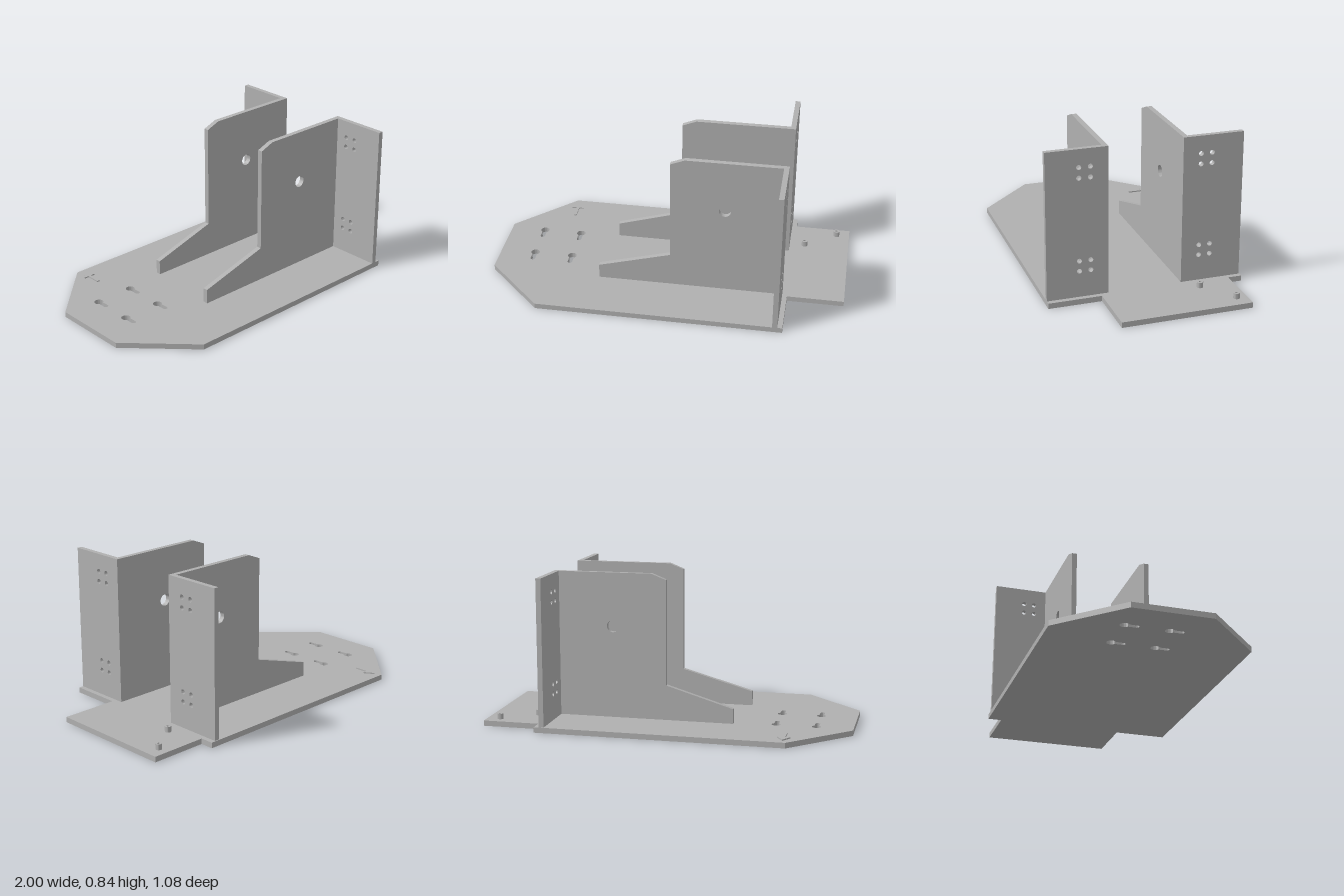
import * as THREE from 'three';
import { toCreasedNormals } from 'three/addons/utils/BufferGeometryUtils.js';

const BASE_T = 0.03;
const SHEET_T = 0.028;

const polygon = (pts) => new THREE.Shape(pts.map(([x, y]) => new THREE.Vector2(x, y)));

function roundHole(x, y, r) {
  const hole = new THREE.Path();
  hole.absarc(x, y, r, 0, Math.PI * 2, true);
  return hole;
}

// Keyhole: large round head with a narrow round-ended slot running down from it
function keyhole(x, y, r, w, length) {
  const hole = new THREE.Path();
  const a = Math.asin(w / r);
  hole.absarc(x, y, r, -Math.PI / 2 + a, Math.PI * 1.5 - a, false);
  hole.absarc(x, y - length + w, w, Math.PI, Math.PI * 2, false);
  hole.closePath();
  return hole;
}

function plate(shape, depth) {
  const geo = new THREE.ExtrudeGeometry(shape, { depth, bevelEnabled: false, curveSegments: 16 });
  return toCreasedNormals(geo, 0.6);
}

export function createModel() {
  const model = new THREE.Group();
  model.name = 'mountingBracket';
  const grey = new THREE.MeshStandardMaterial({ color: 0xb0b0b0 });
  grey.name = 'plain grey';

  const add = (parent, name, geo) => {
    const mesh = new THREE.Mesh(geo, grey);
    mesh.name = name;
    parent.add(mesh);
    return mesh;
  };

  // Base plate, drawn in (x, -z) and laid flat
  const base = polygon([
    [-1, -0.215], [-0.68, -0.537], [0.685, -0.537], [0.685, -0.247], [1, -0.247],
    [1, 0.464], [0.685, 0.464], [0.685, 0.539], [-0.68, 0.539], [-1, 0.219],
  ]);
  for (const x of [-0.8, -0.58])
    for (const z of [-0.185, 0.05]) base.holes.push(keyhole(x, -z, 0.025, 0.013, 0.076));
  add(model, 'basePlate', plate(base, BASE_T).rotateX(-Math.PI / 2));

  // Raised direction arrow near the back corner
  const arrow = polygon([
    [-0.668, 0.37], [-0.652, 0.37], [-0.652, 0.45], [-0.625, 0.45],
    [-0.66, 0.505], [-0.695, 0.45], [-0.668, 0.45],
  ]);
  add(model, 'directionArrow', plate(arrow, 0.007).rotateX(-Math.PI / 2)).position.y = BASE_T;

  // Upright L brackets: a gusset web along x and a drilled flange along z
  const brackets = [
    { name: 'frontBracket', side: 1, inner: 0.203, outer: 0.537, toe: -0.38 },
    { name: 'backBracket', side: -1, inner: 0.201, outer: 0.534, toe: -0.35 },
  ];
  for (const { name, side, inner, outer, toe } of brackets) {
    const bracket = new THREE.Group();
    bracket.name = name;
    model.add(bracket);

    const web = polygon([
      [toe, BASE_T], [0.63, BASE_T], [0.63, 0.84], [0.105, 0.84],
      [0.025, 0.808], [0.025, 0.225], [toe, 0.112],
    ]);
    web.holes.push(roundHole(0.325, 0.542, 0.033));
    add(bracket, 'web', plate(web, SHEET_T)).position.z = side > 0 ? inner : -inner - SHEET_T;

    // Drawn in (-z, y) and turned to face +x
    const a = -side * inner, b = -side * outer;
    const lo = Math.min(a, b), hi = Math.max(a, b);
    const flange = polygon([[lo, BASE_T], [hi, BASE_T], [hi, 0.84], [lo, 0.84]]);
    for (const z of [0.299, 0.36])
      for (const y of [0.175, 0.232, 0.686, 0.743])
        flange.holes.push(roundHole(-side * z, y, 0.0135));
    add(bracket, 'flange', plate(flange, SHEET_T).rotateY(Math.PI / 2)).position.x = 0.63;
  }

  // Hollow pegs on the tongue of the base
  for (const [x, z] of [[0.745, -0.275], [0.925, -0.405]]) {
    const ring = new THREE.Shape();
    ring.absarc(0, 0, 0.017, 0, Math.PI * 2, false);
    ring.holes.push(roundHole(0, 0, 0.007));
    add(model, 'peg', plate(ring, 0.031).rotateX(-Math.PI / 2)).position.set(x, BASE_T, z);
  }

  return model;
}
